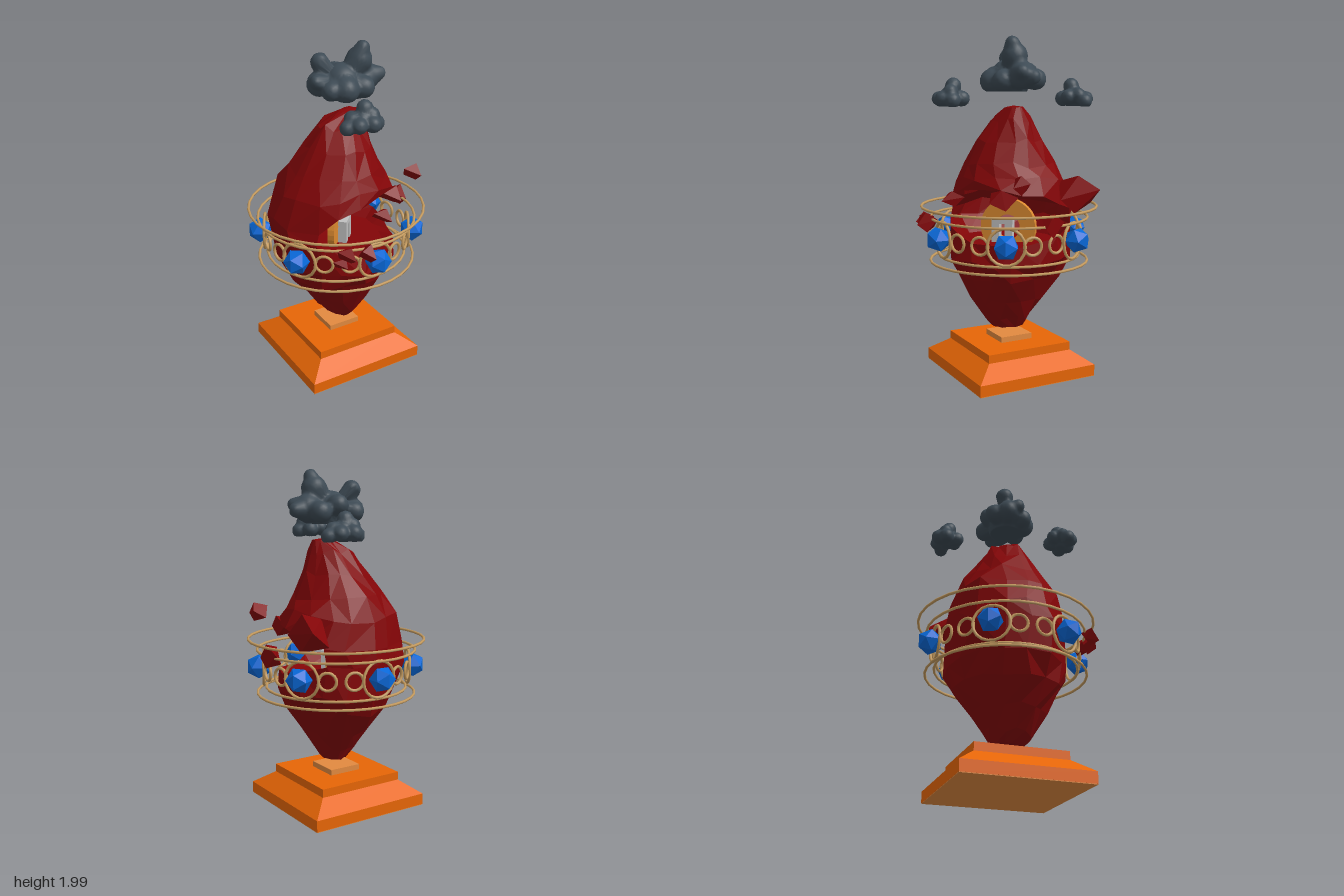
import * as THREE from 'three';
import { mergeVertices } from 'three/addons/utils/BufferGeometryUtils.js';
import { ConvexGeometry } from 'three/addons/geometries/ConvexGeometry.js';

const paint = (name, color, extra = {}) => {
  const m = new THREE.MeshStandardMaterial({ color, ...extra });
  m.name = name;
  return m;
};

function seeded(s) {
  return () => {
    s = (s * 16807) % 2147483647;
    return s / 2147483647;
  };
}

// Flat-faced copy of a geometry
function faceted(geo) {
  const g = geo.index ? geo.toNonIndexed() : geo;
  g.computeVertexNormals();
  return g;
}

// Hollow rock: rows of [y, xMin, xMax, zMin, zMax], with a gap on the front and one side
function rockGeometry() {
  const rows = [
    [0.28, -0.05, 0.09, -0.1, 0.1], [0.34, -0.12, 0.13, -0.14, 0.14],
    [0.46, -0.21, 0.2, -0.22, 0.22], [0.6, -0.31, 0.3, -0.32, 0.31],
    [0.71, -0.37, 0.36, -0.37, 0.34], [0.9, -0.41, 0.38, -0.38, 0.33],
    [0.99, -0.4, 0.37, -0.38, 0.32], [1.15, -0.35, 0.31, -0.35, 0.29],
    [1.27, -0.27, 0.26, -0.28, 0.25], [1.4, -0.19, 0.21, -0.2, 0.18],
    [1.52, -0.11, 0.175, -0.12, 0.11], [1.59, 0.02, 0.15, -0.05, 0.05],
  ];
  const n = 16, low = 5, high = 6;
  const rnd = seeded(77);
  // Opening size by angle: 0 closed, 1 widest; angle runs from +z towards +x
  const gap = i => {
    let a = ((i % n) / n) * 360;
    if (a > 180) a -= 360;
    const d = Math.abs(a - 46) / 78;
    return d < 1 ? Math.sqrt(1 - d * d) : 0;
  };
  const lifts = { [low]: -0.08, [high]: 0.13, [high + 1]: 0.05 };
  const grid = rows.map(([y, x0, x1, z0, z1], j) => Array.from({ length: n }, (_, i) => {
    const a = (i + (rnd() - 0.5) * 0.5) / n * Math.PI * 2;
    const cut = j === low || j === high ? 0.07 * gap(i) : 0;
    const k = 1 + (rnd() - 0.5) * 0.09 - cut;
    const lift = (lifts[j] || 0) * gap(i);
    const wob = j === 0 || j === rows.length - 1 ? 0.008 : 0.04;
    return new THREE.Vector3(
      (x0 + x1) / 2 + (x1 - x0) / 2 * Math.sin(a) * k,
      y + lift + (rnd() - 0.5) * wob,
      (z0 + z1) / 2 + (z1 - z0) / 2 * Math.cos(a) * k);
  }));
  const pos = [];
  const tri = (...ps) => ps.forEach(p => pos.push(p.x, p.y, p.z));
  const quad = (a, b, c, d, flip) => {
    if (flip) { tri(a, b, d); tri(b, c, d); } else { tri(a, b, c); tri(a, c, d); }
  };
  const inset = (p, k, y) => new THREE.Vector3(p.x * k, y, p.z * k);
  const bottom = new THREE.Vector3(0.02, 0.275, 0), peak = new THREE.Vector3(0.08, 1.6, 0);
  const floor = new THREE.Vector3(0, 0.79, 0);
  for (let i = 0; i < n; i++) {
    const k = (i + 1) % n;
    for (let j = 0; j < rows.length - 1; j++) {
      if (j === low && (gap(i) > 0 || gap(k) > 0)) continue;
      quad(grid[j][i], grid[j][k], grid[j + 1][k], grid[j + 1][i], rnd() > 0.5);
    }
    tri(bottom, grid[0][k], grid[0][i]);
    tri(peak, grid[rows.length - 1][i], grid[rows.length - 1][k]);
    // Cave floor and the thick upper lip
    const a = grid[low][i], b = grid[low][k], c = grid[high][i], d = grid[high][k];
    const fa = inset(a, 0.8, 0.8), fb = inset(b, 0.8, 0.8);
    quad(a, b, fb, fa);
    tri(fa, fb, floor);
    quad(d, c, inset(c, 0.78, c.y + 0.08), inset(d, 0.78, d.y + 0.08));
  }
  const g = new THREE.BufferGeometry();
  g.setAttribute('position', new THREE.Float32BufferAttribute(pos, 3));
  g.computeVertexNormals();
  return g;
}

// Pointed chip around a centre, with half sizes
function shardGeometry(half, seed) {
  const rnd = seeded(seed * 7919 + 13);
  const pts = [];
  for (let i = 0; i < 6; i++) {
    const y = 1 - 2 * (i + 0.3) / 5.6, a = i * 2.4 + rnd() * 1.2, r = Math.sqrt(1 - y * y);
    pts.push(new THREE.Vector3(Math.cos(a) * r * half[0] * 1.2, y * half[1] * 1.1, Math.sin(a) * r * half[2] * 1.2));
  }
  return new ConvexGeometry(pts);
}

// Smoothly blended puffs [x, y, z, r], cut level underneath
function cloudGeometry(puffs, floorY, detail) {
  const src = new THREE.IcosahedronGeometry(1, detail);
  src.deleteAttribute('normal');
  src.deleteAttribute('uv');
  const g = mergeVertices(src, 1e-4);
  const p = g.attributes.position, d = new THREE.Vector3(), q = new THREE.Vector3();
  const c = new THREE.Vector3(...puffs[0]);
  const field = v => puffs.reduce((s, [x, y, z, r]) =>
    s + Math.exp(3.6 * (1 - ((v.x - x) ** 2 + (v.y - y) ** 2 + (v.z - z) ** 2) / (r * r))), 0);
  for (let i = 0; i < p.count; i++) {
    d.fromBufferAttribute(p, i).normalize();
    let t = 0.4;
    do { t -= 0.003; q.copy(c).addScaledVector(d, t); } while (t > 0.01 && field(q) < 1);
    p.setXYZ(i, q.x, Math.max(q.y, floorY), q.z);
  }
  g.computeVertexNormals();
  return g;
}

export function createModel() {
  const red = paint('red rock', 0x830507, { side: THREE.DoubleSide });
  const orange = paint('orange base', 0xec6806);
  const copper = paint('copper slab', 0xe28a40);
  const gold = paint('old gold', 0xc69c60);
  const blue = paint('blue gem', 0x0868d8);
  const slate = paint('slate cloud', 0x3d4a54);
  const amber = paint('amber arch', 0xdc8a30);
  const grey = paint('pale grey', 0xc0c0c0);

  const model = new THREE.Group();
  const add = (name, geo, mat, x = 0, y = 0, z = 0, parent = model) => {
    const m = new THREE.Mesh(geo, mat);
    m.name = name;
    m.position.set(x, y, z);
    parent.add(m);
    return m;
  };
  const Z = -0.012;

  // Stepped square base
  const tier = (name, w0, w1, y0, y1, mat) => add(name, faceted(
    new THREE.CylinderGeometry(w1 * Math.SQRT2, w0 * Math.SQRT2, y1 - y0, 4).rotateY(Math.PI / 4)),
  mat, 0, (y0 + y1) / 2, Z);
  tier('baseUnderside', 0.376, 0.376, 0, 0.004, copper);
  tier('baseFoot', 0.377, 0.377, 0.004, 0.07, orange);
  tier('baseSlope', 0.377, 0.27, 0.07, 0.148, orange);
  tier('baseTop', 0.27, 0.27, 0.148, 0.197, orange);
  tier('baseSlab', 0.102, 0.102, 0.197, 0.23, copper);

  add('rock', rockGeometry(), red);

  // Floating chips: centre, then half sizes
  [
    [0.33, 1.1, -0.26, 0.1, 0.11, 0.14], [0.45, 0.95, -0.04, 0.07, 0.07, 0.06],
    [0.43, 1.18, 0.15, 0.055, 0.055, 0.055], [-0.1, 0.93, 0.48, 0.045, 0.06, 0.06],
    [-0.21, 0.93, 0.45, 0.05, 0.05, 0.055], [0.06, 1.08, 0.38, 0.05, 0.045, 0.07],
    [0.26, 1.08, 0.17, 0.07, 0.06, 0.08], [-0.2, 0.84, 0.38, 0.05, 0.04, 0.04],
  ].forEach(([x, y, z, ...half], i) => add('chip' + (i + 1), shardGeometry(half, i + 1), red, x, y, z));

  // Arch and pale gateway inside the cave
  const shrine = new THREE.Group();
  shrine.name = 'caveShrine';
  shrine.rotation.y = Math.PI / 4;
  model.add(shrine);
  const disc = new THREE.Shape().absarc(0, 0, 0.17, 0, Math.PI * 2);
  disc.holes.push(new THREE.Path().absarc(0, 0, 0.075, 0, Math.PI * 2, true));
  add('arch', new THREE.ExtrudeGeometry(disc, { depth: 0.04, bevelEnabled: false, curveSegments: 16 }),
    amber, 0.01, 0.88, -0.02, shrine);
  for (const s of [-1, 1]) add('gatePost', new THREE.BoxGeometry(0.045, 0.13, 0.05), grey, s * 0.04 - 0.01, 0.86, 0.05, shrine);
  add('gateLintel', new THREE.BoxGeometry(0.13, 0.03, 0.05), grey, -0.01, 0.92, 0.05, shrine);

  // Four level hoops
  [[1.01, 0.522], [0.945, 0.47], [0.72, 0.418], [0.685, 0.47]].forEach(([y, r]) =>
    add('hoop', new THREE.TorusGeometry(r, 0.008, 6, 32).rotateX(Math.PI / 2), gold, 0, y, Z));

  // Belt of gems in large links, with two small links between neighbours
  for (let i = 0; i < 18; i++) {
    const a = i * Math.PI / 9, big = i % 3 === 0;
    const link = new THREE.TorusGeometry(big ? 0.105 : 0.05, 0.009, 6, 18);
    add(big ? 'largeLink' : 'smallLink', link, gold, Math.sin(a) * 0.43, 0.835, Z + Math.cos(a) * 0.43).rotation.y = a;
    if (big) add('gem', new THREE.IcosahedronGeometry(0.076), blue,
      Math.sin(a) * 0.46, 0.84, Z + Math.cos(a) * 0.46).rotation.y = a;
  }

  // Smoke clouds
  add('mainCloud', cloudGeometry([
    [0.03, 1.76, 0, 0.11], [-0.1, 1.76, -0.03, 0.07], [-0.08, 1.875, -0.05, 0.055], [0.13, 1.88, 0.02, 0.075],
    [0.14, 1.95, 0.04, 0.042], [0.19, 1.77, 0, 0.08], [0.27, 1.76, -0.02, 0.045], [0, 1.74, 0.1, 0.07],
    [0.05, 1.79, -0.11, 0.058], [0.16, 1.75, -0.1, 0.062], [-0.06, 1.75, -0.11, 0.058], [0.12, 1.74, 0.09, 0.062],
    [-0.08, 1.74, 0.07, 0.055], [0.04, 1.71, 0, 0.1], [-0.14, 1.79, 0.02, 0.04], [0.25, 1.79, 0.04, 0.04],
  ], 1.68, 16), slate);
  const smallCloud = [
    [0, 1.65, 0, 0.062], [-0.1, 1.625, 0.01, 0.042], [0.075, 1.63, 0.02, 0.045], [0.02, 1.715, -0.01, 0.045],
    [-0.03, 1.65, -0.06, 0.042], [0.04, 1.64, -0.055, 0.045], [0.03, 1.64, 0.06, 0.045], [-0.05, 1.64, 0.05, 0.042],
    [-0.06, 1.66, -0.01, 0.042], [0.05, 1.68, 0.02, 0.04],
  ];
  const turned = (cx, cz, s) => smallCloud.map(([x, y, z, r]) => [cx + s * x, y, cz + s * z, r]);
  add('frontCloud', cloudGeometry(turned(-0.05, 0.34, 1), 1.595, 12), slate);
  add('backCloud', cloudGeometry(turned(0.18, -0.35, -1), 1.595, 12), slate);
  return model;
}
